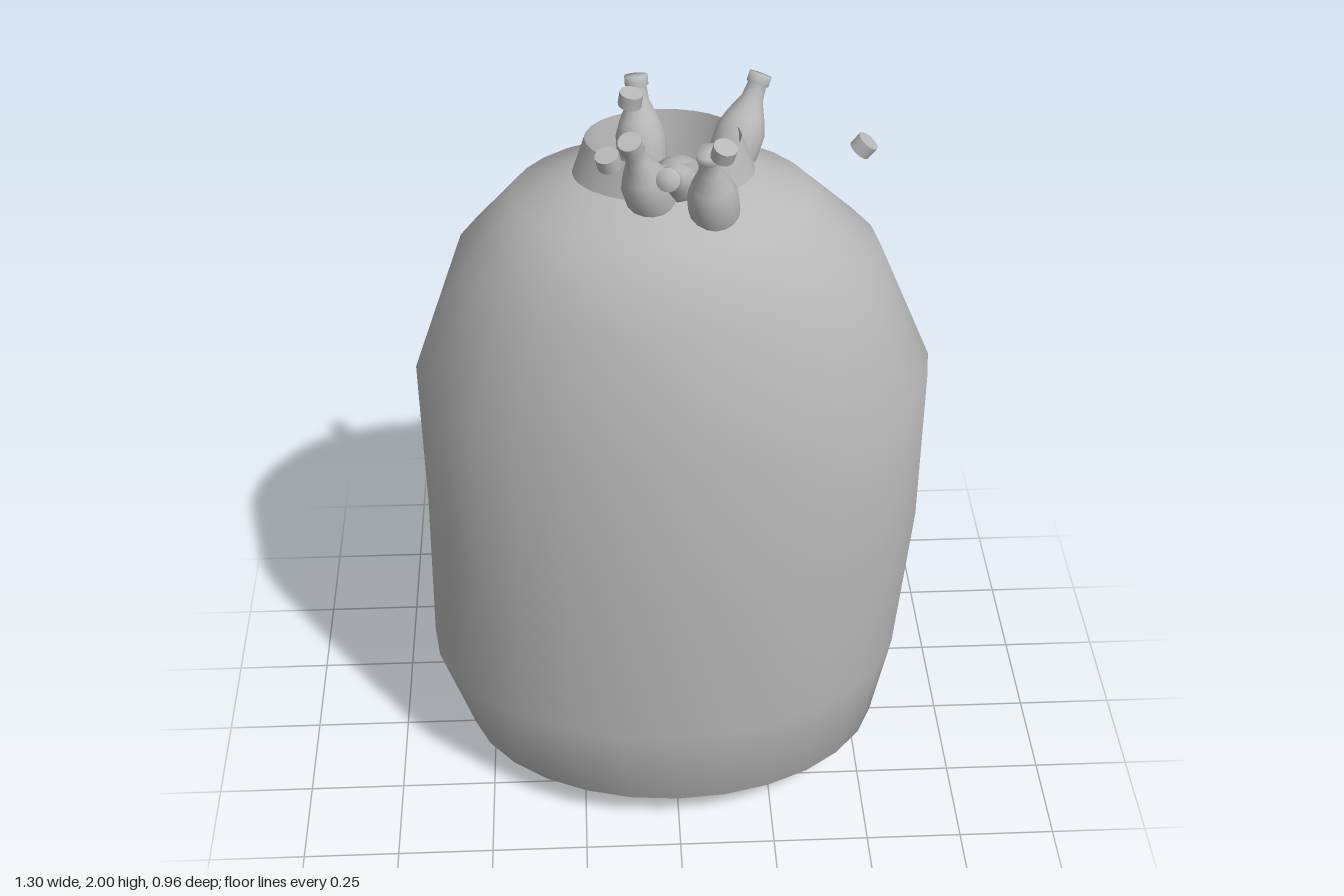
import * as THREE from 'three';

const SEG = 28;

// Smooth skin through oval rings: [y, xMin, xMax, zBack, zFront]
function ovalSkin(rings) {
  const pos = [], idx = [];
  rings.forEach(([y, x0, x1, z0, z1], r) => {
    for (let i = 0; i < SEG; i++) {
      const a = (i / SEG) * Math.PI * 2;
      pos.push((x0 + x1) / 2 + Math.cos(a) * (x1 - x0) / 2, y,
        (z0 + z1) / 2 + Math.sin(a) * (z1 - z0) / 2);
      if (r === rings.length - 1) continue;
      const p = r * SEG + i, n = r * SEG + (i + 1) % SEG;
      idx.push(p, p + SEG, n, n, p + SEG, n + SEG);
    }
  });
  const g = new THREE.BufferGeometry();
  g.setAttribute('position', new THREE.Float32BufferAttribute(pos, 3));
  g.setIndex(idx);
  g.computeVertexNormals();
  return g;
}

export function createModel() {
  const model = new THREE.Group();
  const grey = new THREE.MeshStandardMaterial({ color: 0xb8b8b8, side: THREE.DoubleSide });
  grey.name = 'plain grey';
  const add = (name, geometry) => {
    const mesh = new THREE.Mesh(geometry, grey);
    mesh.name = name;
    model.add(mesh);
    return mesh;
  };

  // Bulging sack
  add('sack', ovalSkin([
    [0.01, -0.44, 0.44, -0.31, 0.33],
    [0.10, -0.565, 0.56, -0.40, 0.43],
    [0.35, -0.65, 0.61, -0.45, 0.46],
    [0.80, -0.64, 0.645, -0.455, 0.48],
    [1.22, -0.645, 0.65, -0.478, 0.465],
    [1.55, -0.53, 0.51, -0.405, 0.395],
    [1.72, -0.385, 0.335, -0.27, 0.28],
    [1.77, -0.235, 0.195, -0.155, 0.145],
  ]));
  add('sackBottom', ovalSkin([
    [0, 0, 0, 0, 0],
    [0.01, -0.44, 0.44, -0.31, 0.33],
  ]));

  // Open neck, with its lining and floor
  add('neck', ovalSkin([
    [1.765, -0.24, 0.2, -0.16, 0.148],
    [1.86, -0.208, 0.165, -0.14, 0.13],
  ]));
  add('neckLining', ovalSkin([
    [1.86, -0.208, 0.165, -0.14, 0.13],
    [1.72, -0.195, 0.16, -0.125, 0.12],
  ]));
  add('neckFloor', ovalSkin([
    [1.72, -0.195, 0.16, -0.125, 0.12],
    [1.72, -0.02, -0.02, 0, 0],
  ]));

  // Bottles leaning out of the neck: base centre, mouth centre
  const profile = [[0, 0], [0.052, 0], [0.06, 0.012], [0.06, 0.07], [0.048, 0.105],
    [0.027, 0.15], [0.023, 0.185], [0.028, 0.188], [0.028, 0.212], [0, 0.212]]
    .map(([r, y]) => new THREE.Vector2(r, y));
  const bottleShape = new THREE.LatheGeometry(profile, 16);
  const up = new THREE.Vector3(0, 1, 0);
  [
    [[-0.068, 1.76, -0.06], [-0.08, 1.95, -0.115]],
    [[0.145, 1.765, -0.065], [0.213, 1.94, -0.13]],
    [[-0.05, 1.755, 0.125], [-0.1, 1.94, 0.185]],
    [[0.02, 1.765, 0.04], [-0.02, 1.87, 0.22]],
    [[0.092, 1.74, 0.165], [0.07, 1.95, 0.225]],
  ].forEach(([base, mouth], i) => {
    const b = new THREE.Vector3(...base);
    const dir = new THREE.Vector3(...mouth).sub(b).normalize();
    const bottle = add('bottle' + (i + 1), bottleShape);
    bottle.position.copy(b);
    bottle.quaternion.setFromUnitVectors(up, dir);
  });

  // Popped caps in the air: centre, tilt about x and z
  const capShape = new THREE.CylinderGeometry(0.028, 0.028, 0.033, 14);
  [
    [-0.098, 1.982, 0.037, 0.1, -0.15],
    [-0.155, 1.952, 0.27, 0.25, 0.2],
    [-0.103, 1.955, 0.212, 0.4, 0.2],
    [0.105, 1.955, 0.25, 0.3, -0.2],
    [0.447, 1.857, 0.057, 0.1, -0.65],
  ].forEach(([x, y, z, rx, rz], i) => {
    const cap = add('cap' + (i + 1), capShape);
    cap.position.set(x, y, z);
    cap.rotation.set(rx, 0, rz);
  });

  return model;
}
